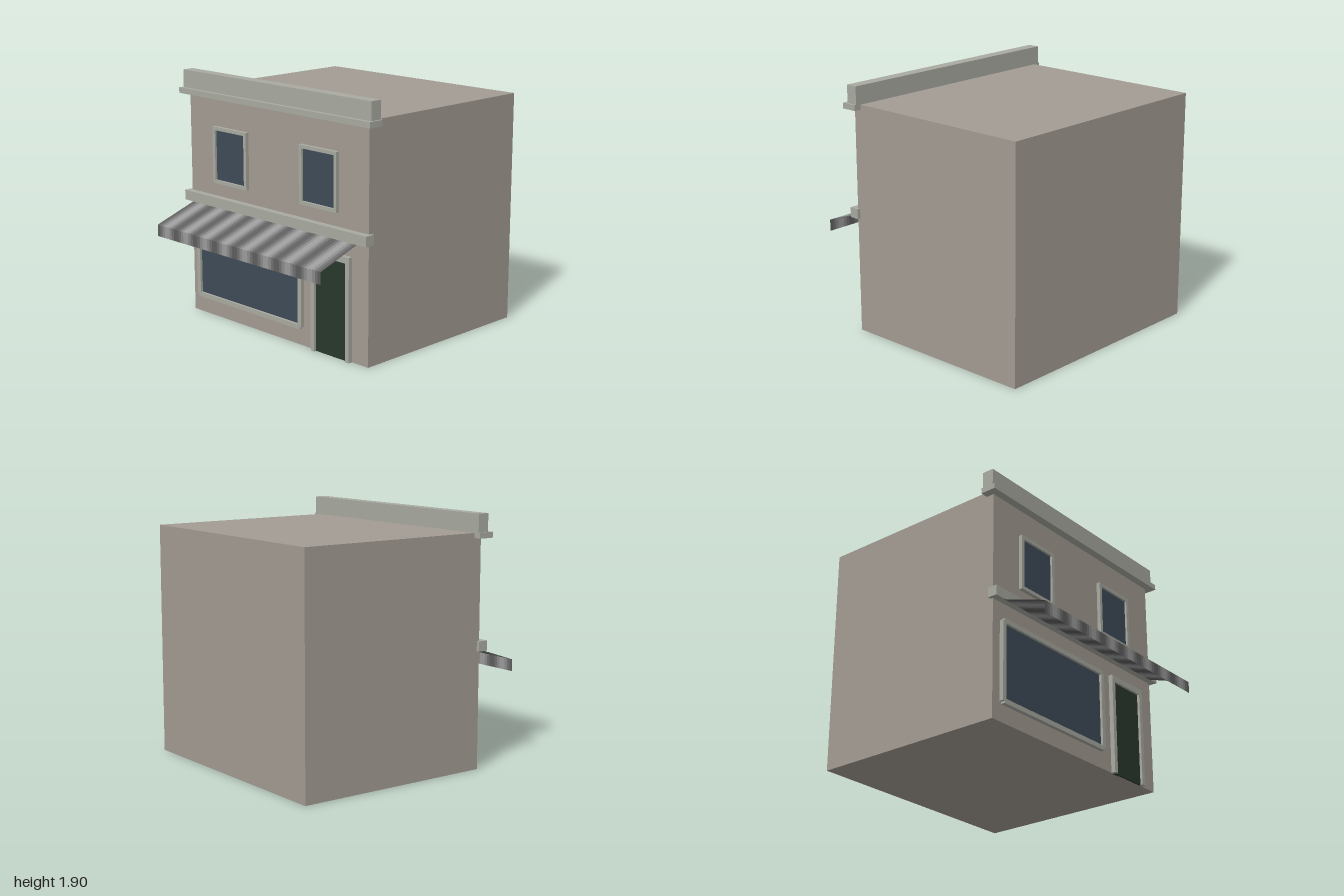
import * as THREE from 'three';

const mat = (color) => new THREE.MeshStandardMaterial({ color });
const wallMat = mat(0xa39c93), trimMat = mat(0xa9aba2), glassMat = mat(0x3f4b58), doorMat = mat(0x29382c);
const WALL = 0.58; // z of the shop front

// Box given by its extents on each axis
function box(name, material, [x0, x1], [y0, y1], [z0, z1]) {
  const mesh = new THREE.Mesh(new THREE.BoxGeometry(x1 - x0, y1 - y0, z1 - z0), material);
  mesh.position.set((x0 + x1) / 2, (y0 + y1) / 2, (z0 + z1) / 2);
  mesh.name = name;
  return mesh;
}

// Upper window: a mitred frame around a slightly recessed pane
function upperWindow(name, cx) {
  const group = new THREE.Group();
  group.name = name;
  const rect = (Type, w, h) => new Type([
    new THREE.Vector2(-w, -h), new THREE.Vector2(w, -h), new THREE.Vector2(w, h), new THREE.Vector2(-w, h)]);
  const shape = rect(THREE.Shape, 0.187, 0.217);
  shape.holes.push(rect(THREE.Path, 0.16, 0.191));
  const frame = new THREE.Mesh(
    new THREE.ExtrudeGeometry(shape, { depth: 0.03, bevelEnabled: false }), trimMat);
  frame.name = 'windowFrame';
  frame.position.set(cx, 1.287, WALL - 0.001);
  group.add(frame, box('windowPane', glassMat, [cx - 0.16, cx + 0.16], [1.096, 1.478], [0.57, 0.592]));
  return group;
}

// Shop window: four bars centred on the edges of the opening
function shopWindow() {
  const group = new THREE.Group();
  group.name = 'shopWindow';
  const x0 = -0.848, x1 = 0.28, y0 = 0.147, y1 = 0.745, t = 0.0175;
  const depth = [0.575, 0.612];
  group.add(box('shopPane', glassMat, [x0, x1], [y0, y1], [0.57, 0.592]));
  for (const x of [x0, x1]) group.add(box('shopWindowSide', trimMat, [x - t, x + t], [y0, y1], depth));
  for (const y of [y0, y1]) group.add(box('shopWindowRail', trimMat, [x0, x1], [y - t, y + t], depth));
  return group;
}

function door() {
  const group = new THREE.Group();
  group.name = 'door';
  const depth = [0.575, 0.614];
  group.add(
    box('doorPanel', doorMat, [0.43, 0.75], [0, 0.728], [0.57, 0.594]),
    box('doorJambRight', trimMat, [0.4, 0.435], [0, 0.726], depth),
    box('doorJambLeft', trimMat, [0.747, 0.782], [0, 0.726], depth),
    box('doorLintel', trimMat, [0.4, 0.782], [0.726, 0.773], depth));
  return group;
}

// Awning: thin sloped sheet with a hanging valance, in softly banded strips
function awning() {
  const group = new THREE.Group();
  group.name = 'awning';
  const half = 0.875, bands = 8, steps = 8, count = bands * steps;
  const profile = [[0.905, WALL + 0.004], [0.77, 0.98], [0.68, 0.98]];
  const materials = Array.from({ length: steps }, (_, i) => {
    const m = new THREE.MeshStandardMaterial({ side: THREE.DoubleSide });
    const g = 0.49 - 0.13 * Math.cos(((i + 0.5) / steps) * Math.PI * 2);
    m.color.setRGB(g, g, g, THREE.SRGBColorSpace);
    return m;
  });
  for (let i = 0; i < count; i++) {
    const xa = -half + (2 * half * i) / count, xb = xa + (2 * half) / count;
    const pos = [];
    for (let k = 0; k < 2; k++) {
      const [y0, z0] = profile[k], [y1, z1] = profile[k + 1];
      pos.push(xa, y0, z0, xa, y1, z1, xb, y1, z1, xa, y0, z0, xb, y1, z1, xb, y0, z0);
    }
    const geo = new THREE.BufferGeometry();
    geo.setAttribute('position', new THREE.Float32BufferAttribute(pos, 3));
    geo.computeVertexNormals();
    const strip = new THREE.Mesh(geo, materials[i % steps]);
    strip.name = 'awningStrip';
    group.add(strip);
  }
  return group;
}

export function createModel() {
  const model = new THREE.Group();
  model.name = 'shopBuilding';
  model.add(
    box('building', wallMat, [-0.94, 0.94], [0, 1.757], [-0.982, WALL]),
    // Horizontal trim of the shop front
    box('stringCourse', trimMat, [-0.966, 0.966], [0.89, 0.966], [0.558, 0.634]),
    box('corniceLedge', trimMat, [-1, 1], [1.72, 1.763], [0.517, 0.64]),
    box('parapet', trimMat, [-0.984, 0.984], [1.763, 1.898], [0.517, 0.608]),
    upperWindow('upperWindowRight', -0.47),
    upperWindow('upperWindowLeft', 0.466),
    shopWindow(), door(), awning());
  return model;
}
